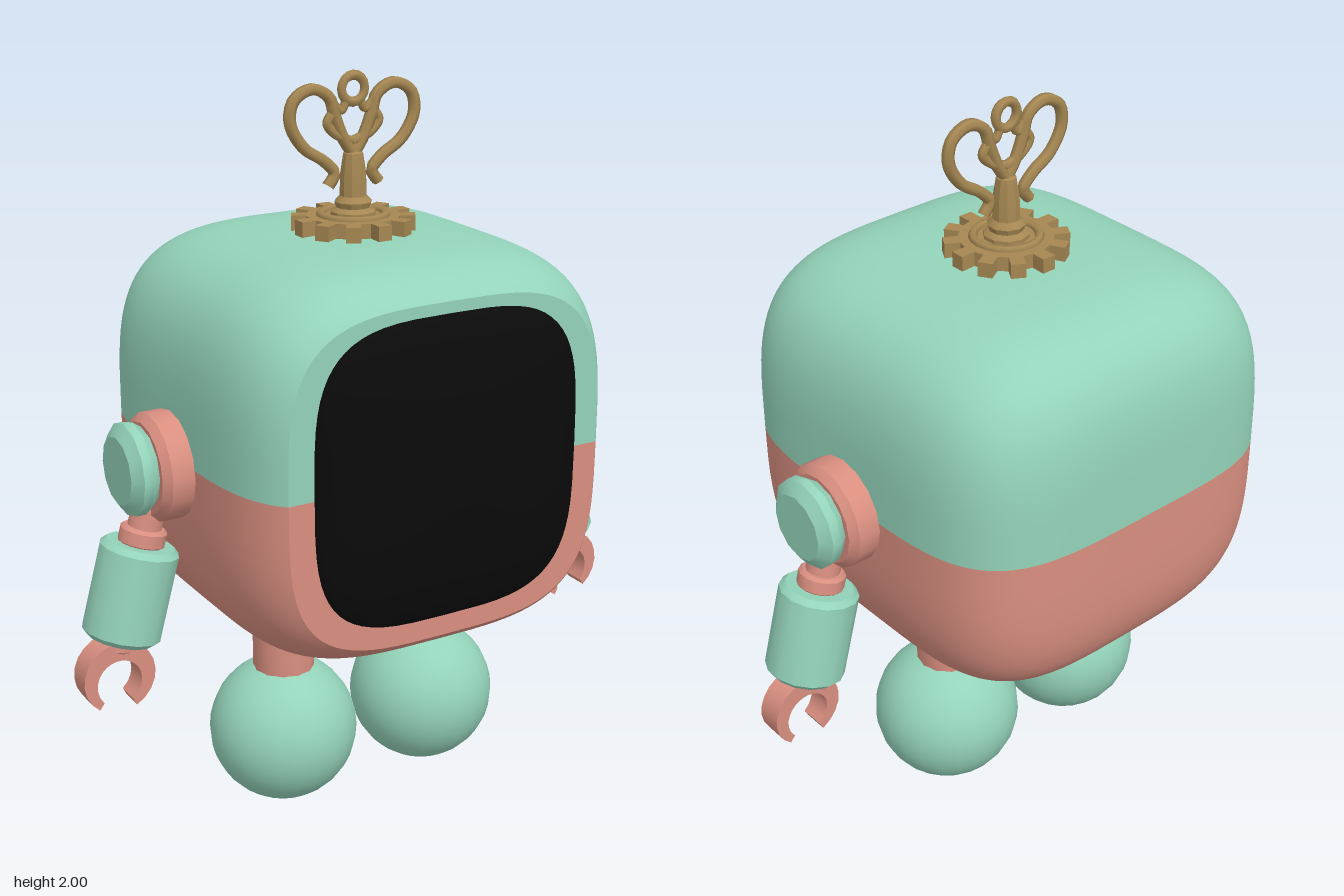
import * as THREE from 'three';
import { mergeVertices, toCreasedNormals } from 'three/addons/utils/BufferGeometryUtils.js';
import { ParametricGeometry } from 'three/addons/geometries/ParametricGeometry.js';

const mat = (name, color) => {
  const m = new THREE.MeshStandardMaterial({ color });
  m.name = name;
  return m;
};
const mint = mat('mint', 0x94d3ba);
const coral = mat('coral', 0xd98f80);
const brass = mat('brass', 0xa58752);
const black = mat('black', 0x0a0a0a);

function add(parent, name, geometry, material, x = 0, y = 0, z = 0) {
  const mesh = new THREE.Mesh(geometry, material);
  mesh.name = name;
  mesh.position.set(x, y, z);
  parent.add(mesh);
  return mesh;
}

// Signed power, for rounded-square curves
const pw = (v, e) => Math.sign(v) * Math.pow(Math.abs(v), e);

// Smooth welded patch from f(u, v, target)
function patch(f, nu, nv) {
  const g = new ParametricGeometry(f, nu, nv);
  g.deleteAttribute('normal');
  g.deleteAttribute('uv');
  const welded = mergeVertices(g, 1e-5);
  welded.computeVertexNormals();
  return welded;
}

// Turned part with crisp edges; the profile runs from bottom to top
function turned(profile, sides = 14) {
  const pts = profile.map(([r, y]) => new THREE.Vector2(r, y));
  return toCreasedNormals(new THREE.LatheGeometry(pts, sides), 0.55);
}

// Cylinder along y with bevelled rims
const drum = (r, h, b, sides) => turned(
  [[0, -h / 2], [r - b, -h / 2], [r, -h / 2 + b], [r, h / 2 - b], [r - b, h / 2], [0, h / 2]], sides);

const W = 0.54, H = 0.525, D = 0.55, CY = 1.067, FRONT = 0.47;
const EP = 2 / 3.6, ED = 2 / 4.2;
const CUT = Math.acos(Math.pow(FRONT / D, 1 / ED));

// Half of the body shell, from the back pole to the flat front
function bodyHalf(start) {
  return patch((u, v, p) => {
    const a = start + u * Math.PI;
    const t = Math.PI + (CUT - Math.PI) * v;
    const s = pw(Math.max(0, Math.sin(t)), ED);
    p.set(W * s * pw(Math.cos(a), EP), H * s * pw(Math.sin(a), EP), D * pw(Math.cos(t), ED));
  }, 48, 56);
}

// Half of the flat front behind the screen
function frontHalf(start) {
  const rim = Math.pow(Math.sin(CUT), ED);
  return patch((u, v, p) => {
    const a = start + u * Math.PI, s = rim * (1 - v);
    p.set(W * s * pw(Math.cos(a), EP), H * s * pw(Math.sin(a), EP), FRONT);
  }, 48, 2);
}

function makeBody() {
  const body = new THREE.Group();
  body.name = 'body';
  for (const [name, start, m] of [['upper', 0, mint], ['lower', Math.PI, coral]]) {
    add(body, name + 'Shell', bodyHalf(start), m, 0, CY);
    add(body, name + 'Front', frontHalf(start), m, 0, CY);
  }
  // Domed screen
  const screen = patch((u, v, p) => {
    const a = u * Math.PI * 2, t = (1 - v) * Math.PI / 2;
    const s = Math.sin(t);
    p.set(0.385 * s * pw(Math.cos(a), EP), 0.4 * s * pw(Math.sin(a), EP), 0.085 * Math.cos(t));
  }, 64, 14);
  add(body, 'screen', screen, black, 0, 1.08, 0.465);
  return body;
}

// Gripper: an open ring with tapering finger tips, gap downwards
function clawGeometry() {
  const shape = new THREE.Shape();
  const N = 18, gap = 0.55, outer = [], inner = [];
  for (let i = 0; i <= N; i++) {
    const k = i / N;
    const a = -Math.PI / 2 + gap + k * (Math.PI * 2 - gap * 2);
    const thick = 0.022 + 0.03 * Math.sin(k * Math.PI);
    outer.push(new THREE.Vector2(0.1 * Math.cos(a), 0.1 * Math.sin(a)));
    inner.unshift(new THREE.Vector2((0.1 - thick) * Math.cos(a), (0.1 - thick) * Math.sin(a)));
  }
  shape.setFromPoints([...outer, ...inner]);
  const g = new THREE.ExtrudeGeometry(shape, { depth: 0.07, bevelEnabled: false });
  g.translate(0, 0, -0.035);
  return toCreasedNormals(g, 0.5);
}

function makeArm() {
  const arm = new THREE.Group();
  arm.name = 'arm';
  add(arm, 'shoulderRing', drum(0.142, 0.13, 0.02, 16), coral, 0.555, 1.045).rotation.z = -Math.PI / 2;
  const cap = turned([[0, -0.035], [0.105, -0.035], [0.122, -0.01], [0.122, 0.015], [0.09, 0.038], [0, 0.038]], 12);
  add(arm, 'shoulderCap', cap, mint, 0.652, 1.05).rotation.z = -Math.PI / 2;

  // Forearm hangs outwards
  const lower = new THREE.Group();
  lower.name = 'forearm';
  lower.position.set(0.668, 0.718, 0);
  lower.rotation.z = 0.27;
  add(lower, 'elbowPin', drum(0.045, 0.12, 0.005), coral, 0, 0.2);
  add(lower, 'elbowCollar', drum(0.062, 0.05, 0.008), coral, 0, 0.15);
  add(lower, 'sleeve', drum(0.105, 0.26, 0.015, 14), mint);
  add(lower, 'wrist', drum(0.04, 0.05, 0.005), coral, 0, -0.14);
  arm.add(lower);
  add(arm, 'claw', clawGeometry(), coral, 0.722, 0.495).rotation.z = 0.1;
  return arm;
}

function makeLeg() {
  const leg = new THREE.Group();
  leg.name = 'leg';
  add(leg, 'shin', drum(0.084, 0.24, 0.01, 12), coral, 0.223, 0.5);
  add(leg, 'foot', new THREE.SphereGeometry(0.205, 24, 18), mint, 0.227, 0.205);
  return leg;
}

function makeKey() {
  const key = new THREE.Group();
  key.name = 'windUpKey';

  // Gear base
  const pts = [], teeth = 12;
  for (let i = 0; i < teeth; i++) {
    for (const [off, r] of [[-0.15, 0.122], [-0.12, 0.162], [0.12, 0.162], [0.15, 0.122]]) {
      const a = (i / teeth) * Math.PI * 2 + off;
      pts.push(new THREE.Vector2(r * Math.cos(a), r * Math.sin(a)));
    }
  }
  const gear = new THREE.ExtrudeGeometry(new THREE.Shape(pts), { depth: 0.04, bevelEnabled: false });
  gear.rotateX(-Math.PI / 2);
  add(key, 'gear', gear, brass, 0, 1.59);
  const ring = new THREE.TorusGeometry(0.085, 0.012, 6, 20);
  ring.rotateX(Math.PI / 2);
  add(key, 'gearRing', ring, brass, 0, 1.63);

  // Shaft with collars
  add(key, 'shaft', turned([[0.06, 1.62], [0.06, 1.64], [0.045, 1.65], [0.05, 1.665], [0.036, 1.68],
    [0.034, 1.74], [0.026, 1.79], [0, 1.8]], 10), brass);

  // Scrolled handle
  const tube = (list, r) => new THREE.TubeGeometry(
    new THREE.CatmullRomCurve3(list.map(([x, y]) => new THREE.Vector3(x, y, 0))), 36, r, 6);
  const lobe = [[0.075, 1.71], [0.055, 1.74], [0.085, 1.775], [0.145, 1.815], [0.183, 1.88], [0.172, 1.935],
    [0.12, 1.96], [0.07, 1.935], [0.055, 1.89], [0.03, 1.83], [0, 1.785]];
  const curl = [[0.057, 1.9], [0.075, 1.87], [0.05, 1.84], [0, 1.82]];
  const link = [[0.058, 1.92], [0.035, 1.9], [0.02, 1.925]];
  for (const s of [1, -1]) {
    const flip = (list) => list.map(([x, y]) => [s * x, y]);
    add(key, 'handleLoop', tube(flip(lobe), 0.016), brass);
    add(key, 'handleCurl', tube(flip(curl), 0.013), brass);
    add(key, 'handleLink', tube(flip(link), 0.011), brass);
  }
  add(key, 'topRing', new THREE.TorusGeometry(0.034, 0.013, 6, 16), brass, 0, 1.953);
  return key;
}

export function createModel() {
  const model = new THREE.Group();
  model.name = 'windUpRobot';
  model.add(makeBody(), makeKey());
  // Limbs are symmetric front to back, so a half turn mirrors them
  for (const [side, turn] of [['left', 0], ['right', Math.PI]]) {
    const arm = makeArm(), leg = makeLeg();
    arm.name = side + 'Arm';
    leg.name = side + 'Leg';
    arm.rotation.y = leg.rotation.y = turn;
    model.add(arm, leg);
  }
  return model;
}
